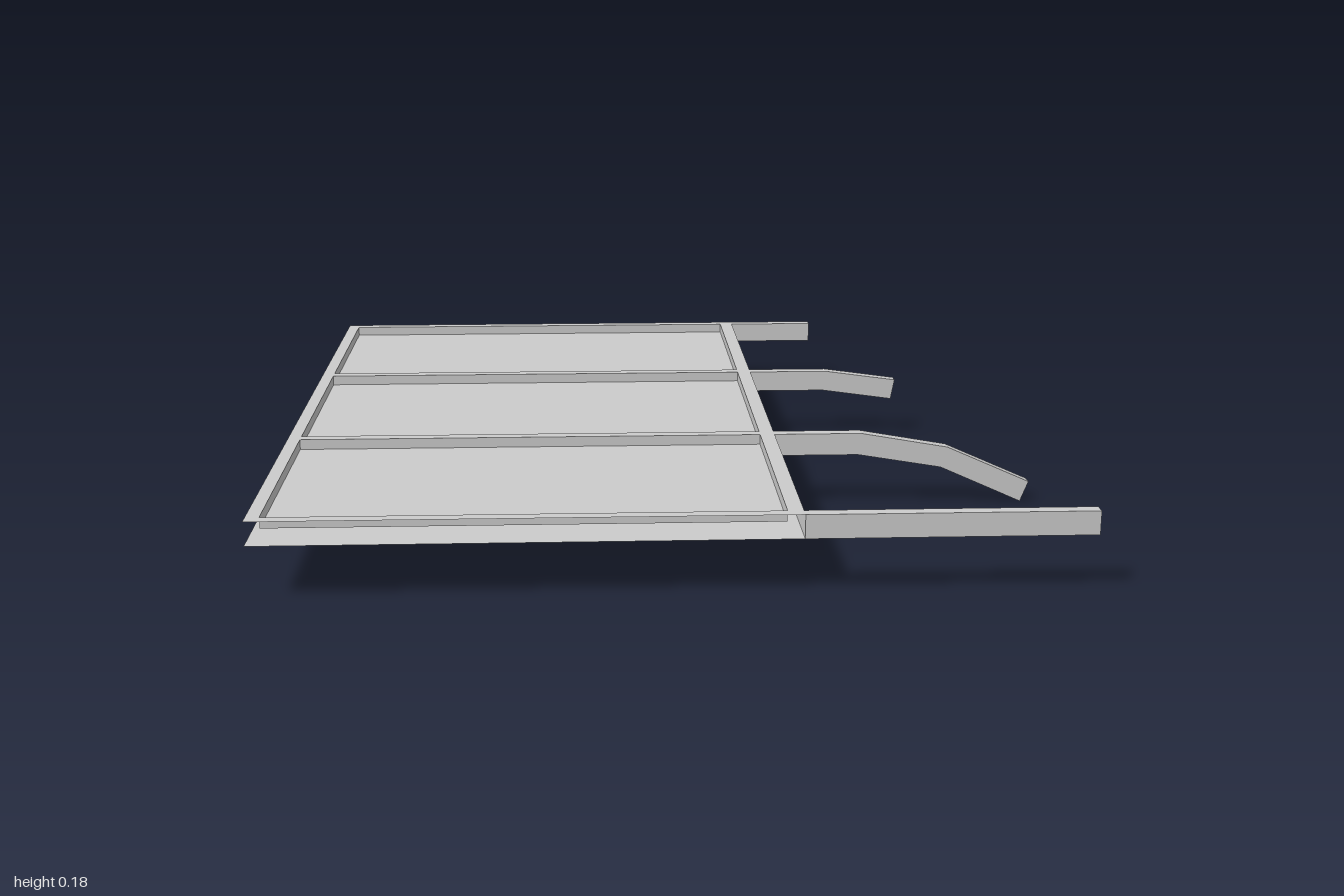
import * as THREE from 'three';

export function createModel() {
  const group = new THREE.Group();
  const solid = new THREE.MeshStandardMaterial({ color: 0xcccccc, flatShading: true });
  const open = new THREE.MeshStandardMaterial({ color: 0xcccccc, flatShading: true, side: THREE.DoubleSide });

  const LEFT = -0.925, RIGHT = 0.28, TOP = 0.185, FLOOR = 0.16, BASE = 0.13, BAR = 0.031;

  const add = (name, geometry, material) => {
    const mesh = new THREE.Mesh(geometry, material);
    mesh.name = name;
    group.add(mesh);
    return mesh;
  };

  const rectangle = (path, x0, x1, z0, z1) => {
    path.moveTo(x0, -z0);
    path.lineTo(x1, -z0);
    path.lineTo(x1, -z1);
    path.lineTo(x0, -z1);
    path.closePath();
    return path;
  };

  // Horizontal sheet facing up at height y
  const sheet = (name, shape, y) => {
    const geometry = new THREE.ShapeGeometry(shape);
    geometry.rotateX(-Math.PI / 2);
    geometry.translate(0, y, 0);
    return add(name, geometry, open);
  };

  // Vertical sheet between two plan points
  const wall = (name, [xa, za], [xb, zb], y0, y1) => {
    const geometry = new THREE.PlaneGeometry(Math.hypot(xb - xa, zb - za), y1 - y0);
    geometry.rotateY(-Math.atan2(zb - za, xb - xa));
    geometry.translate((xa + xb) / 2, (y0 + y1) / 2, (za + zb) / 2);
    return add(name, geometry, open);
  };

  // Top frame with three sunken panels
  const frame = rectangle(new THREE.Shape(), LEFT, RIGHT, -1, 1);
  const x0 = LEFT + 0.031, x1 = RIGHT - 0.036;
  const bays = [[-0.969, -0.349], [-0.318, 0.317], [0.348, 0.969]];
  for (const [z0, z1] of bays) {
    frame.holes.push(rectangle(new THREE.Path(), x0, x1, z0, z1));
    sheet('panelFloor', rectangle(new THREE.Shape(), x0, x1, z0, z1), FLOOR);
    const corners = [[x0, z0], [x0, z1], [x1, z1], [x1, z0]];
    corners.forEach((c, i) => wall('panelRim', c, corners[(i + 1) % 4], FLOOR, TOP));
  }
  sheet('topFrame', frame, TOP);

  // Underside and the one closed edge; the other three edges stay open
  sheet('underside', rectangle(new THREE.Shape(), LEFT, RIGHT, -1, 1), BASE);
  wall('edgeWall', [RIGHT, 1], [RIGHT, -1], BASE, TOP);

  // Arms: side profiles extruded across the bar width
  const arm = (name, z, profile) => {
    const shape = new THREE.Shape(profile.map(([x, y]) => new THREE.Vector2(x, y)));
    const geometry = new THREE.ExtrudeGeometry(shape, { depth: BAR, bevelEnabled: false });
    geometry.translate(0, 0, z);
    add(name, geometry, solid);
  };
  const straight = (end) => [[RIGHT, BASE], [end, BASE], [end, TOP], [RIGHT, TOP]];
  arm('frontArm', 1 - BAR, straight(0.925));
  arm('backArm', -1, straight(0.525));
  arm('longCurvedArm', 0.317, [
    [RIGHT, BASE], [0.49, BASE], [0.7, 0.095], [0.905, 0.003],
    [0.925, 0.054], [0.715, 0.147], [0.497, TOP], [RIGHT, TOP],
  ]);
  arm('shortCurvedArm', -0.349, [
    [RIGHT, BASE], [0.487, BASE], [0.682, 0.103], [0.692, 0.158], [0.494, TOP], [RIGHT, TOP],
  ]);

  return group;
}
